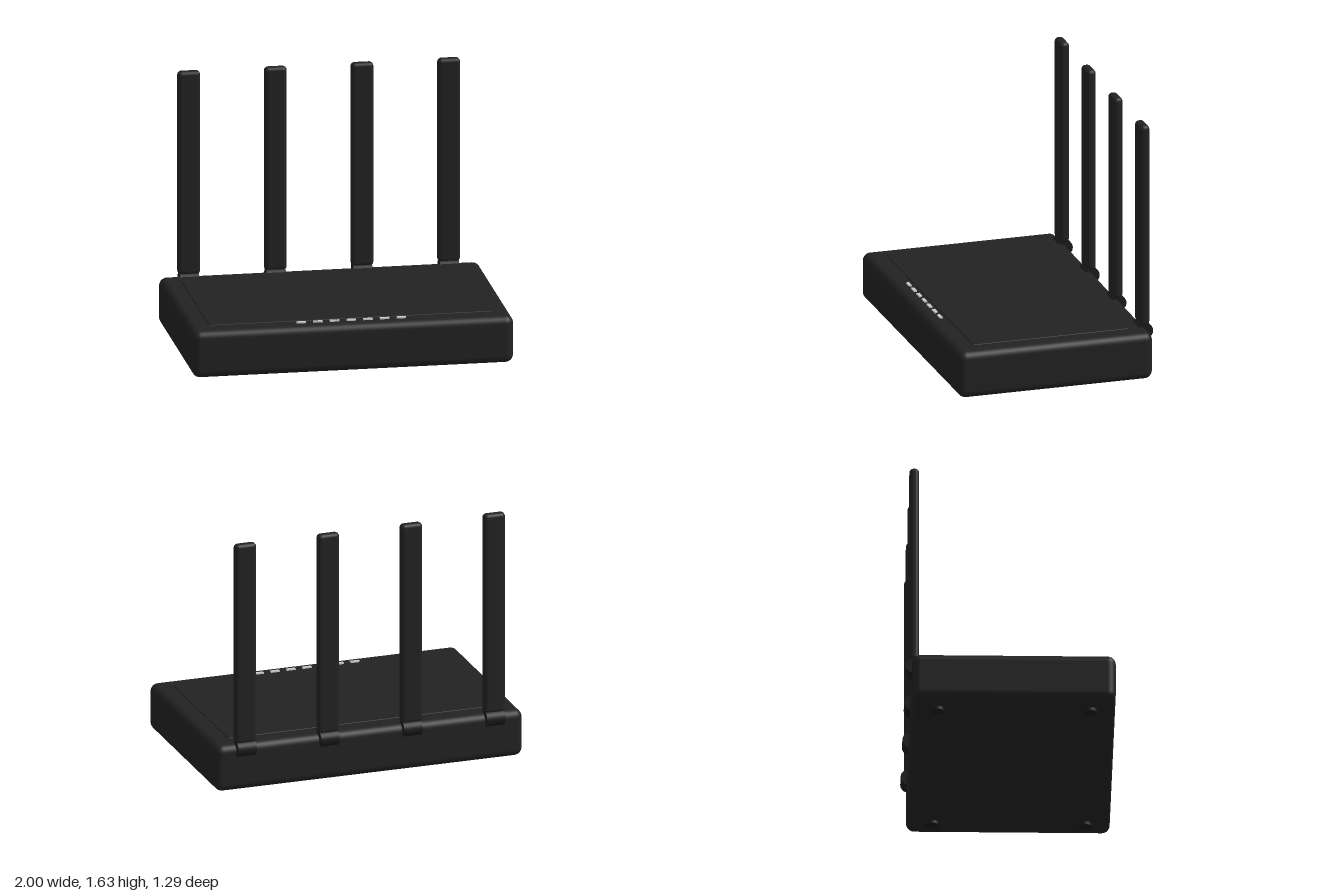
import * as THREE from 'three';
import { RoundedBoxGeometry } from 'three/addons/geometries/RoundedBoxGeometry.js';

const material = (name, color) => {
  const m = new THREE.MeshStandardMaterial({ color });
  m.name = name;
  return m;
};

export function createModel() {
  const model = new THREE.Group();
  model.name = 'router';
  const shell = material('charcoal plastic', 0x222222);
  const dark = material('dark plastic', 0x1b1b1b);
  const light = material('indicator grey', 0xcccccc);

  const add = (parent, name, geometry, mat, x, y, z) => {
    const mesh = new THREE.Mesh(geometry, mat);
    mesh.name = name;
    mesh.position.set(x, y, z);
    parent.add(mesh);
    return mesh;
  };

  // Housing with rounded edges and a slightly raised top panel
  add(model, 'housing', new RoundedBoxGeometry(2, 0.3, 1.25, 5, 0.05), shell, 0, 0.17, 0.018);
  add(model, 'topPanel', new RoundedBoxGeometry(1.76, 0.016, 1.0, 3, 0.005), shell, 0, 0.318, 0.018);

  // Row of status lights along the front edge
  const lightGeometry = new THREE.BoxGeometry(0.058, 0.009, 0.02);
  for (let i = -3; i <= 3; i++) {
    add(model, 'statusLight', lightGeometry, light, i * 0.104, 0.3245, 0.552);
  }

  // Four antennas, each on a hinge barrel at the back edge
  const hingeGeometry = new THREE.CylinderGeometry(0.05, 0.05, 0.12, 32).rotateZ(Math.PI / 2);
  const bladeGeometry = new RoundedBoxGeometry(0.14, 1.3, 0.06, 5, 0.025);
  for (const x of [-0.81, -0.27, 0.27, 0.81]) {
    const antenna = new THREE.Group();
    antenna.name = 'antenna';
    antenna.position.set(x, 0.292, -0.594);
    add(antenna, 'antennaHinge', hingeGeometry, dark, 0, 0, 0);
    add(antenna, 'antennaBlade', bladeGeometry, shell, 0, 0.686, 0.002);
    model.add(antenna);
  }

  // Round feet
  const footGeometry = new THREE.CylinderGeometry(0.043, 0.043, 0.03, 32);
  for (const x of [-0.828, 0.828]) {
    for (const z of [-0.45, 0.488]) add(model, 'foot', footGeometry, dark, x, 0.015, z);
  }
  return model;
}
